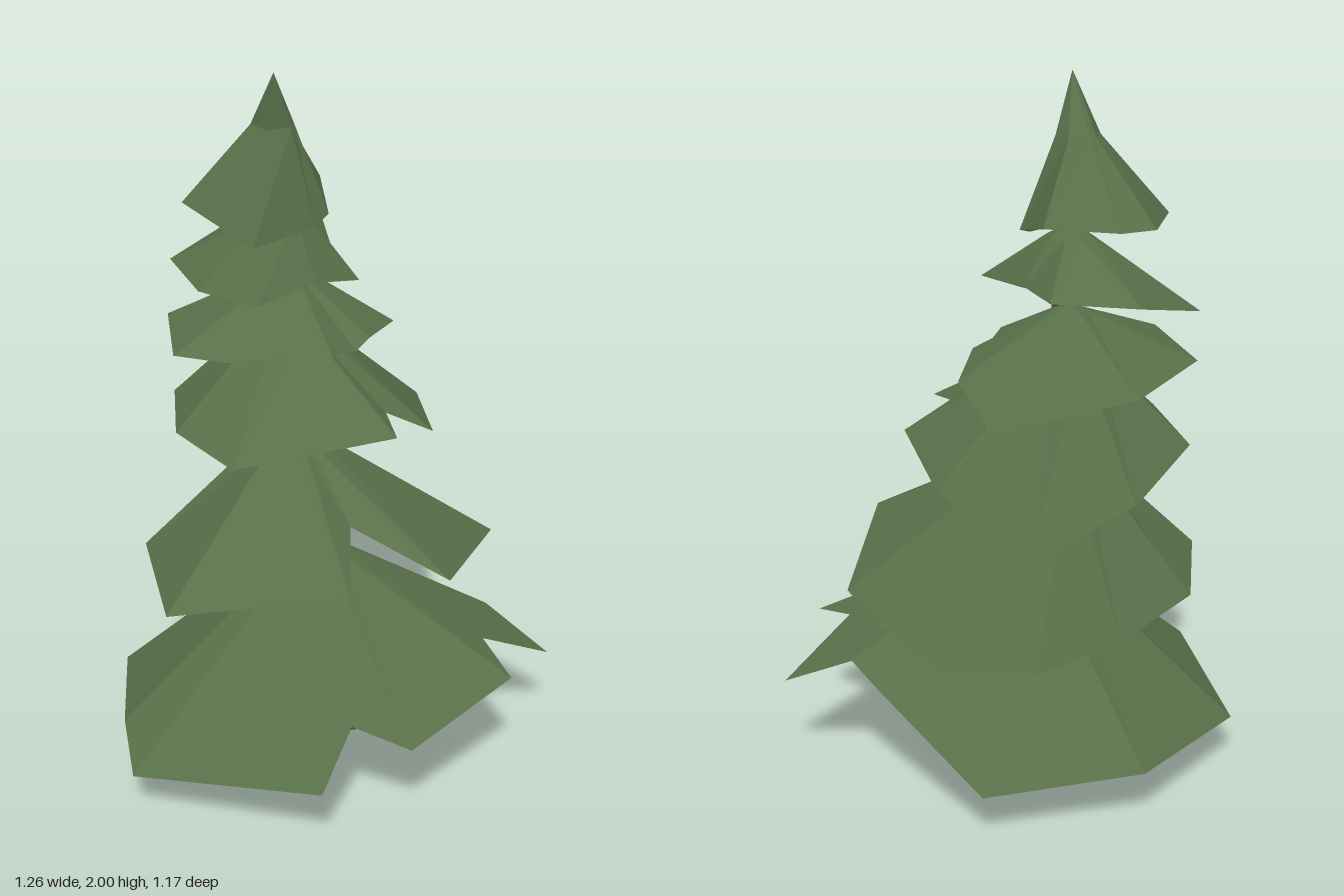
import * as THREE from 'three';

const needles = new THREE.MeshStandardMaterial({ color: 0x587049, flatShading: true, side: THREE.DoubleSide });
needles.name = 'needle green';
const bark = new THREE.MeshStandardMaterial({ color: 0x6a4a44, flatShading: true, side: THREE.DoubleSide });
bark.name = 'bark brown';

// Joins rings of equal length, listed bottom to top, and closes the last one
// with a fan to the tip. Rings run anticlockwise seen from above.
function loft(name, rings, tip, material) {
  const out = [];
  const n = rings[0].length;
  for (let r = 0; r < rings.length - 1; r++) {
    for (let i = 0; i < n; i++) {
      const j = (i + 1) % n;
      const [a, b, c, d] = [rings[r][i], rings[r][j], rings[r + 1][j], rings[r + 1][i]];
      out.push(...a, ...b, ...c, ...a, ...c, ...d);
    }
  }
  const top = rings[rings.length - 1];
  for (let i = 0; i < n; i++) out.push(...top[i], ...top[(i + 1) % n], ...tip);
  const geometry = new THREE.BufferGeometry();
  geometry.setAttribute('position', new THREE.Float32BufferAttribute(out, 3));
  geometry.computeVertexNormals();
  const mesh = new THREE.Mesh(geometry, material);
  mesh.name = name;
  return mesh;
}

// A drooping skirt of branches: ragged rim, small collar, then a tip.
function branchTier(name, rim, collar, radius, tip) {
  const ring = rim.map(([x, , z]) => {
    const a = Math.atan2(z - collar[2], x - collar[0]);
    return [collar[0] + radius * Math.cos(a), collar[1], collar[2] + radius * Math.sin(a)];
  });
  return loft(name, [rim, ring], tip, needles);
}

export function createModel() {
  const tree = new THREE.Group();
  tree.name = 'firTree';

  // Leaning trunk: centre x, y, z, half width, half depth
  const trunkRings = [
    [-0.02, 0, -0.01, 0.135, 0.012],
    [-0.04, 0.36, 0.03, 0.085, 0.045],
    [-0.07, 0.65, -0.02, 0.05, 0.05],
    [-0.08, 1.0, -0.14, 0.045, 0.04],
    [-0.06, 1.4, -0.23, 0.03, 0.025],
    [-0.08, 1.72, -0.22, 0.02, 0.02],
  ].map(([x, y, z, w, d]) => [[x + w, y, z + d], [x + w, y, z - d], [x - w, y, z - d], [x - w, y, z + d]]);
  tree.add(loft('trunk', trunkRings, [-0.08, 1.8, -0.21], bark));

  // Branch tiers, from the ground up
  tree.add(branchTier('bottomBranches', [
    [0.63, 0.27, 0.15], [0.49, 0.37, -0.01], [0.45, 0.31, -0.12], [0.32, 0.135, -0.49],
    [-0.12, 0.15, -0.59], [-0.53, 0.13, -0.375], [-0.62, 0.2, 0.06], [-0.635, 0.14, 0.25],
    [-0.18, 0.22, 0.585], [-0.07, 0.36, 0.49], [0.08, 0.3, 0.56], [0.43, 0.36, 0.38], [0.4, 0.4, 0.22],
  ], [-0.03, 0.62, -0.02], 0.1, [-0.06, 0.66, -0.03]));

  tree.add(branchTier('secondBranches', [
    [0.51, 0.6, -0.04], [0.45, 0.52, -0.12], [0.36, 0.43, -0.3], [0.16, 0.46, -0.49],
    [-0.1, 0.5, -0.48], [-0.36, 0.56, -0.41], [-0.49, 0.62, -0.2], [-0.52, 0.63, 0.23],
    [-0.05, 0.71, 0.4], [0.02, 0.79, 0.16], [0.255, 0.68, 0.335],
  ], [-0.08, 0.95, -0.13], 0.08, [-0.08, 0.98, -0.14]));

  tree.add(branchTier('thirdBranches', [
    [0.29, 1.0, 0.055], [0.355, 0.95, -0.295], [0.18, 0.78, -0.48], [-0.1, 0.92, -0.55],
    [-0.35, 1.0, -0.4], [-0.41, 1.015, -0.1], [-0.305, 1.0, 0.135], [0.15, 1.05, 0.165],
    [0.155, 1.07, 0.045],
  ], [-0.06, 1.26, -0.23], 0.08, [-0.06, 1.29, -0.24]));

  tree.add(branchTier('fourthBranches', [
    [0.14, 1.25, -0.07], [0.26, 1.22, -0.23], [0.245, 1.12, -0.41], [0.1, 1.18, -0.51],
    [-0.1, 1.21, -0.55], [-0.36, 1.24, -0.41], [-0.41, 1.25, -0.1], [-0.28, 1.245, -0.025],
    [0, 1.26, 0.04], [0.09, 1.23, -0.035],
  ], [-0.04, 1.39, -0.28], 0.045, [-0.03, 1.41, -0.29]));

  tree.add(branchTier('fifthBranches', [
    [0.1, 1.44, -0.04], [0.08, 1.46, -0.25], [0.11, 1.47, -0.46], [-0.09, 1.46, -0.575],
    [-0.34, 1.39, -0.45], [-0.31, 1.38, -0.22], [-0.18, 1.37, -0.09], [0, 1.41, -0.12],
  ], [-0.06, 1.58, -0.24], 0.06, [-0.06, 1.61, -0.24]));

  tree.add(branchTier('crown', [
    [0.05, 1.59, -0.17], [0.075, 1.635, -0.35], [-0.09, 1.63, -0.465], [-0.19, 1.63, -0.47],
    [-0.335, 1.62, -0.285], [-0.195, 1.56, -0.045], [0.0, 1.57, -0.13],
  ], [-0.09, 1.84, -0.23], 0.06, [-0.1, 2, -0.175]));

  return tree;
}
